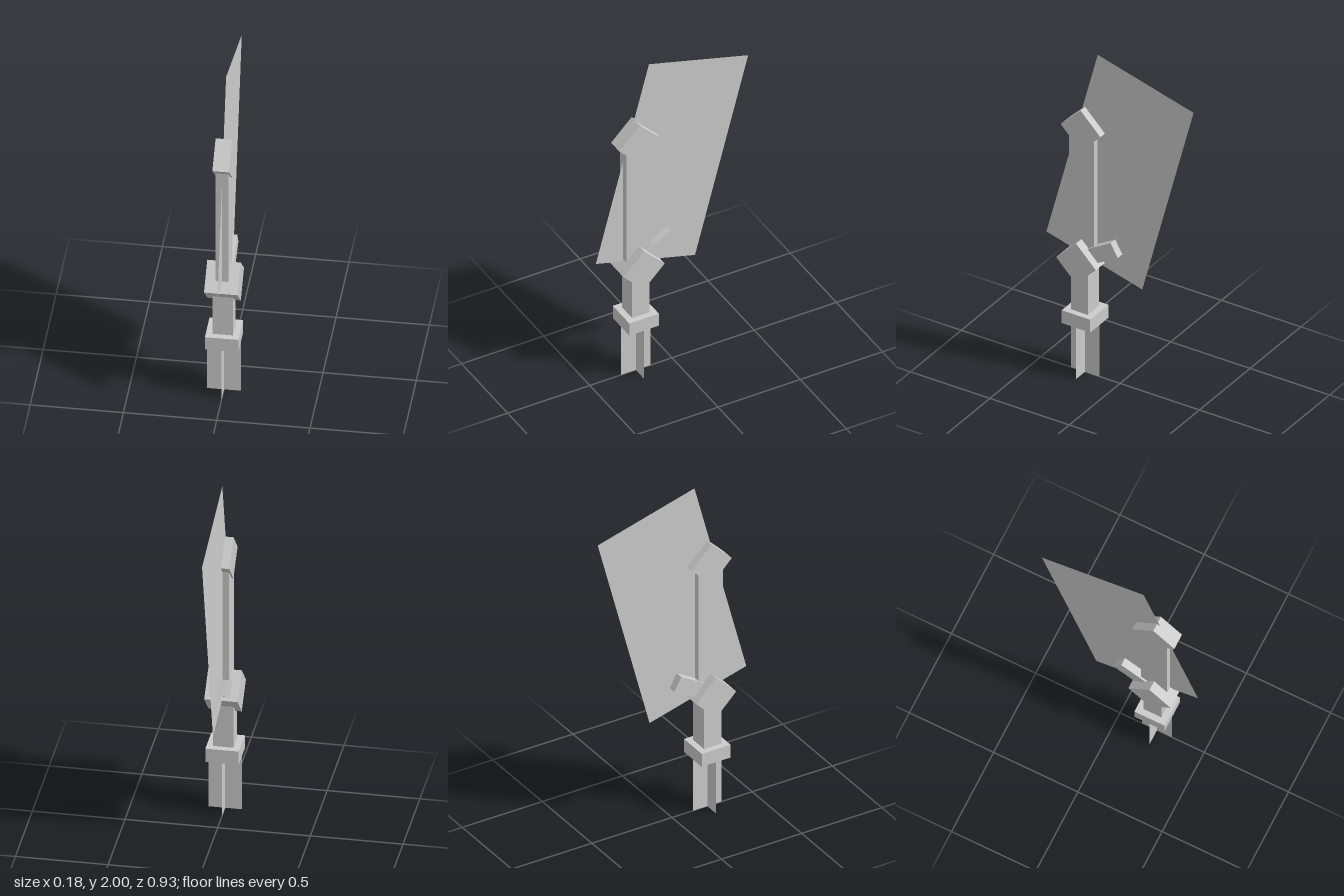
import * as THREE from 'three';

const paleGrey = new THREE.MeshStandardMaterial({ color: 0xcccccc, side: THREE.DoubleSide });
paleGrey.name = 'paleGrey';

const SHAFT_Z = 0.22; // the shaft stands forward of the blade's centre

export function createModel() {
  const model = new THREE.Group();
  model.name = 'bladedWeapon';

  const add = (name, geometry, y, z, tilt = 0) => {
    const mesh = new THREE.Mesh(geometry, paleGrey);
    mesh.name = name;
    mesh.position.set(0, y, z);
    mesh.rotation.x = THREE.MathUtils.degToRad(tilt);
    model.add(mesh);
    return mesh;
  };
  const box = (w, h, d) => new THREE.BoxGeometry(w, h, d);

  // Handle: two crossed flat sheets
  add('handleSheetAcross', new THREE.PlaneGeometry(0.18, 0.32), 0.16, SHAFT_Z);
  add('handleSheetAlong', new THREE.PlaneGeometry(0.18, 0.32).rotateY(Math.PI / 2), 0.16, SHAFT_Z);

  // Collar and neck above the handle
  add('collar', box(0.18, 0.08, 0.18), 0.36, SHAFT_Z);
  add('neck', box(0.11, 0.32, 0.107), 0.56, SHAFT_Z);

  // Diamond blocks joined by the spine
  add('lowerDiamond', box(0.18, 0.177, 0.177), 0.72, SHAFT_Z, 45);
  add('spine', box(0.07, 0.805, 0.155), 1.1225, SHAFT_Z);
  add('upperDiamond', box(0.09, 0.177, 0.177), 1.525, SHAFT_Z, 45);

  // Short prong rising backwards out of the lower diamond
  const prong = box(0.09, 0.09, 0.245).translate(0, 0, -0.1225);
  add('prong', prong, 0.725, SHAFT_Z, 30);

  // Broad blade: one flat sheet leaning back
  add('blade', new THREE.PlaneGeometry(0.625, 1.25).rotateY(Math.PI / 2), 1.316, 0, -15);

  return model;
}
